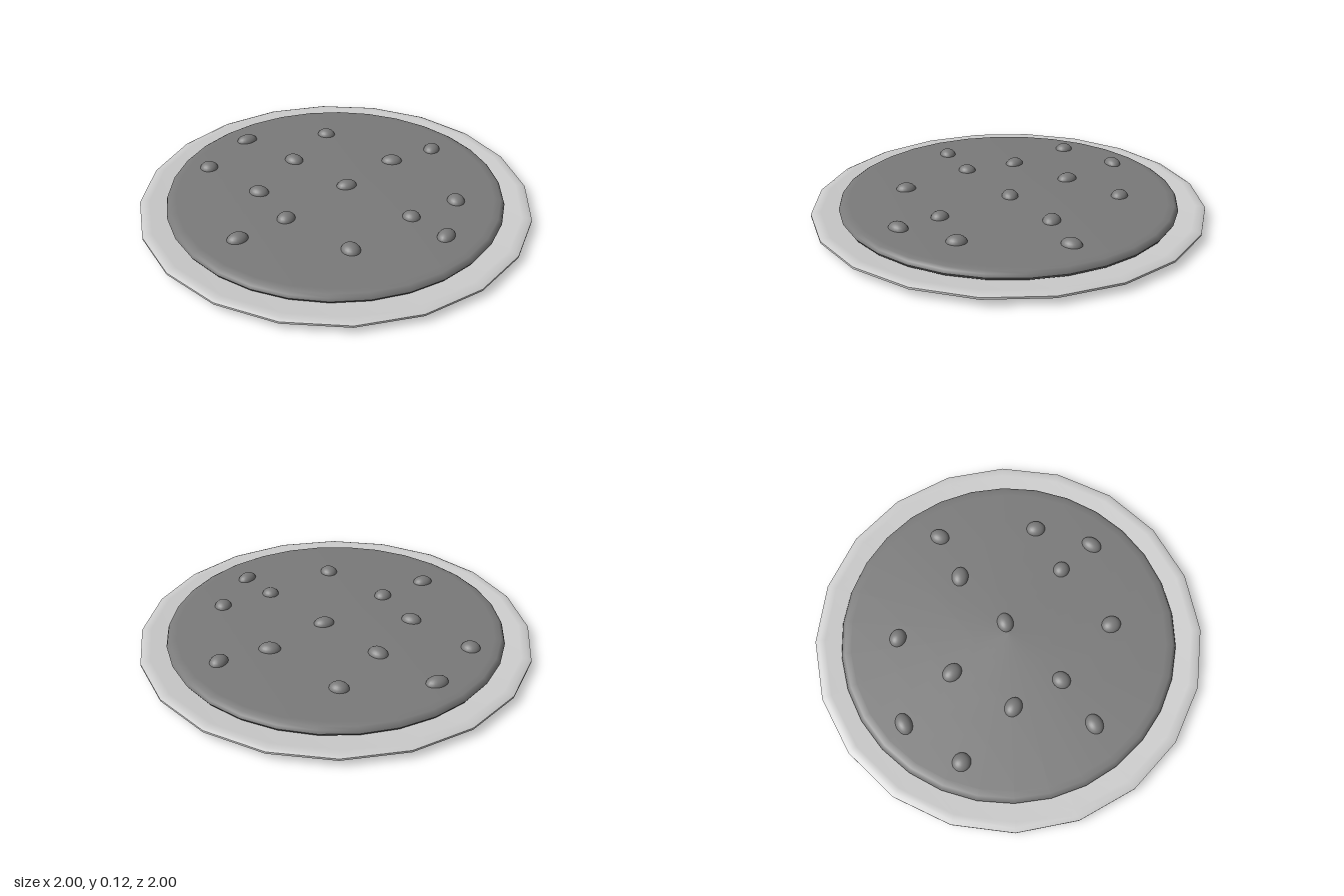
import * as THREE from 'three';
import { toCreasedNormals } from 'three/addons/utils/BufferGeometryUtils.js';

const lathe = (points, sides, start = 0) =>
  toCreasedNormals(
    new THREE.LatheGeometry(points.map(([r, y]) => new THREE.Vector2(r, y)), sides, start),
    0.7
  );

export function createModel() {
  const group = new THREE.Group();
  const plateMaterial = new THREE.MeshStandardMaterial({ color: 0xcccccc });
  const foodMaterial = new THREE.MeshStandardMaterial({ color: 0x7a7a7a });

  const add = (name, geometry, material) => {
    const mesh = new THREE.Mesh(geometry, material);
    mesh.name = name;
    group.add(mesh);
    return mesh;
  };

  // Shallow dish with a thin, slightly raised rim
  add('plate', lathe([
    [0, 0], [0.81, 0], [0.98, 0.027], [1, 0.034], [1, 0.044],
    [0.98, 0.053], [0.95, 0.051], [0.81, 0.03], [0, 0.03],
  ], 20), plateMaterial);

  // Flat round base with a softened upper edge
  add('crust', lathe([
    [0, 0.032], [0.82, 0.032], [0.855, 0.045], [0.863, 0.058],
    [0.857, 0.074], [0.842, 0.083], [0.81, 0.085], [0, 0.085],
  ], 30, Math.PI / 30), foodMaterial);

  // Toppings: x, z, half length, half width, turn in degrees
  const toppings = [
    [0.25, -0.615, 0.053, 0.044, 100],
    [-0.34, -0.455, 0.050, 0.043, 15],
    [0.12, -0.39, 0.056, 0.045, 30],
    [-0.685, -0.16, 0.058, 0.042, 60],
    [0.58, -0.215, 0.051, 0.045, 130],
    [-0.335, -0.117, 0.055, 0.045, 170],
    [0.04, -0.047, 0.054, 0.043, 50],
    [0.455, 0.03, 0.046, 0.043, 0],
    [0.668, 0.085, 0.056, 0.042, 90],
    [-0.68, 0.185, 0.049, 0.047, 0],
    [-0.31, 0.24, 0.054, 0.044, 5],
    [-0.058, 0.362, 0.049, 0.045, 90],
    [0.338, 0.412, 0.052, 0.046, 150],
    [-0.157, 0.62, 0.054, 0.044, 60],
  ];
  const ball = new THREE.SphereGeometry(1, 20, 14);
  for (const [x, z, length, width, turn] of toppings) {
    const topping = add('topping', ball, foodMaterial);
    topping.position.set(x, 0.079, z);
    topping.scale.set(length, 0.037, width);
    topping.rotation.y = THREE.MathUtils.degToRad(turn);
  }

  return group;
}
